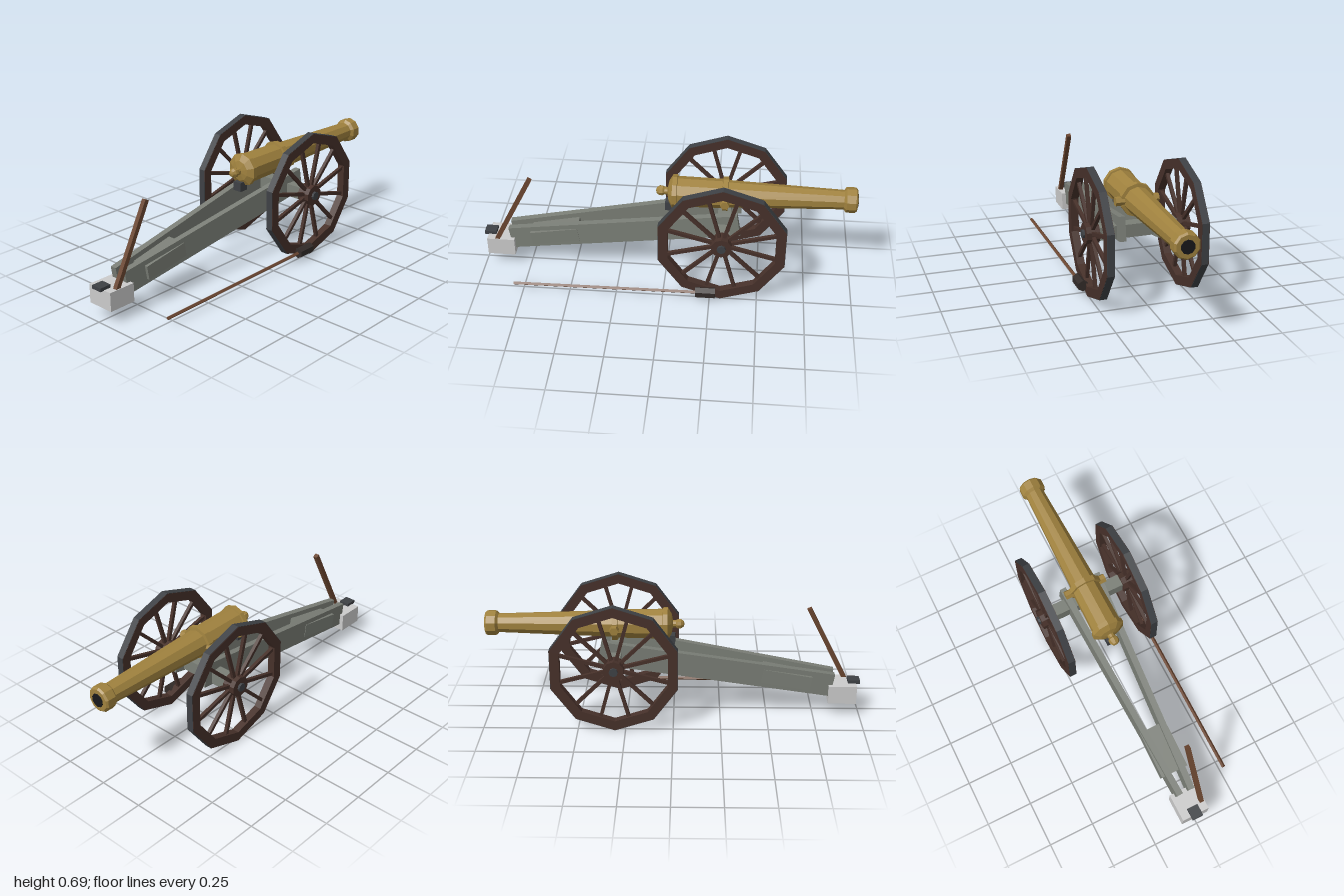
import * as THREE from 'three';

const mat = (color) => new THREE.MeshStandardMaterial({ color, flatShading: true });
const CX = -0.007; // centre line of the gun
const HALF = Math.PI / 2;

export function createModel() {
  const root = new THREE.Group();
  const brass = mat(0xa0823e), paint = mat(0x7b7f77), iron = mat(0x3e4145);
  const darkWood = mat(0x47312a), wood = mat(0x6b4630), bristle = mat(0x332c29);
  const black = mat(0x18181a), plain = mat(0xcccccc);

  const add = (name, geometry, material, x = 0, y = 0, z = 0, parent = root) => {
    const mesh = new THREE.Mesh(geometry, material);
    mesh.name = name;
    mesh.position.set(x, y, z);
    parent.add(mesh);
    return mesh;
  };
  const box = (w, h, d) => new THREE.BoxGeometry(w, h, d);
  const cyl = (r1, r2, len, sides) => new THREE.CylinderGeometry(r1, r2, len, sides);

  // ten-sided ring with a corner at the top, centred on its own width
  const ring = (outer, inner, width) => {
    const corners = (r) => Array.from({ length: 10 }, (_, i) => {
      const a = HALF + (i * Math.PI) / 5;
      return new THREE.Vector2(r * Math.cos(a), r * Math.sin(a));
    });
    const shape = new THREE.Shape(corners(outer));
    shape.holes.push(new THREE.Path(corners(inner)));
    return new THREE.ExtrudeGeometry(shape, { depth: width, bevelEnabled: false })
      .translate(0, 0, -width / 2);
  };

  // barrel profile as [radius, z], from breech to muzzle
  const profile = [
    [0, 0.012], [0.02, 0.012], [0.02, -0.005], [0.055, -0.012], [0.09, -0.032],
    [0.09, -0.056], [0.081, -0.058], [0.077, -0.294], [0.09, -0.296], [0.09, -0.324],
    [0.072, -0.326], [0.051, -0.925], [0.067, -0.938], [0.067, -0.985],
    [0.058, -0.995], [0, -0.995],
  ].map(([r, z]) => new THREE.Vector2(r, -z));
  const barrel = add('barrel', new THREE.LatheGeometry(profile, 10), brass, CX, 0.5, 0);
  barrel.rotation.x = -HALF;
  const bore = add('bore', cyl(0.035, 0.035, 0.03, 10), black, CX, 0.5, -0.985);
  bore.rotation.x = -HALF;
  const knob = add('breechKnob', new THREE.SphereGeometry(0.028, 8, 5), brass, CX, 0.5, 0.029);
  knob.rotation.x = -HALF;
  const trunnions = add('trunnions', cyl(0.024, 0.024, 0.231, 6), brass, CX, 0.5, -0.31);
  trunnions.rotation.z = HALF;
  add('elevatingBlock', box(0.05, 0.05, 0.05), iron, CX, 0.415, -0.018);

  // splayed trail cheeks, transom and axle
  const slope = 0.169;
  for (const side of [-1, 1]) {
    const cheek = add(side > 0 ? 'leftCheek' : 'rightCheek', box(0.034, 0.128, 1.257), paint,
      CX + side * 0.068, 0.273, 0.231);
    cheek.rotation.set(slope, -side * 0.054, 0, 'YXZ');
  }
  const transom = add('transom', box(0.15, 0.076, 0.262), paint, CX, 0.209, 0.602);
  transom.rotation.x = slope;
  add('axle', box(0.44, 0.069, 0.068), paint, CX, 0.347, -0.308);

  // trail end block with its iron plate
  add('trailBlock', box(0.151, 0.1, 0.15), plain, CX, 0.121, 0.904);
  add('trailPlate', box(0.06, 0.019, 0.064), iron, CX, 0.178, 0.968);

  // wheels, built around z and turned to face sideways
  for (const side of [-1, 1]) {
    const wheel = new THREE.Group();
    wheel.name = side > 0 ? 'leftWheel' : 'rightWheel';
    wheel.position.set(CX + side * 0.243, 0.347, -0.305);
    wheel.rotation.y = side * HALF;
    root.add(wheel);
    add('rim', ring(0.345, 0.293, 0.041), darkWood, 0, 0, 0, wheel);
    add('tire', ring(0.347, 0.335, 0.038), iron, 0, 0, 0, wheel);
    const hub = add('hub', cyl(0.055, 0.055, 0.07, 10), darkWood, 0, 0, 0, wheel);
    hub.rotation.x = HALF;
    const cap = add('hubCap', cyl(0.023, 0.023, 0.024, 8), iron, 0, 0, 0.035, wheel);
    cap.rotation.x = HALF;
    for (let i = 0; i < 12; i++) {
      const spoke = add('spoke', box(0.018, 0.26, 0.018).translate(0, 0.175, 0), darkWood, 0, 0, 0, wheel);
      spoke.rotation.z = ((i + 0.5) * Math.PI) / 6;
    }
  }

  // handspike standing in the trail block
  const spike = add('handspike', box(0.024, 0.455, 0.024), wood, 0.052, 0.366, 0.822);
  spike.rotation.x = -0.475;

  // rammer lying beside the left wheel
  const rod = add('rammerRod', cyl(0.01, 0.01, 1.01, 4), wood, 0.271, 0.044, 0.295);
  rod.rotation.x = -HALF + 0.009;
  const head = add('rammerHead', cyl(0.03, 0.03, 0.105, 6), bristle, 0.271, 0.05, -0.228);
  head.rotation.x = -HALF;

  return root;
}
